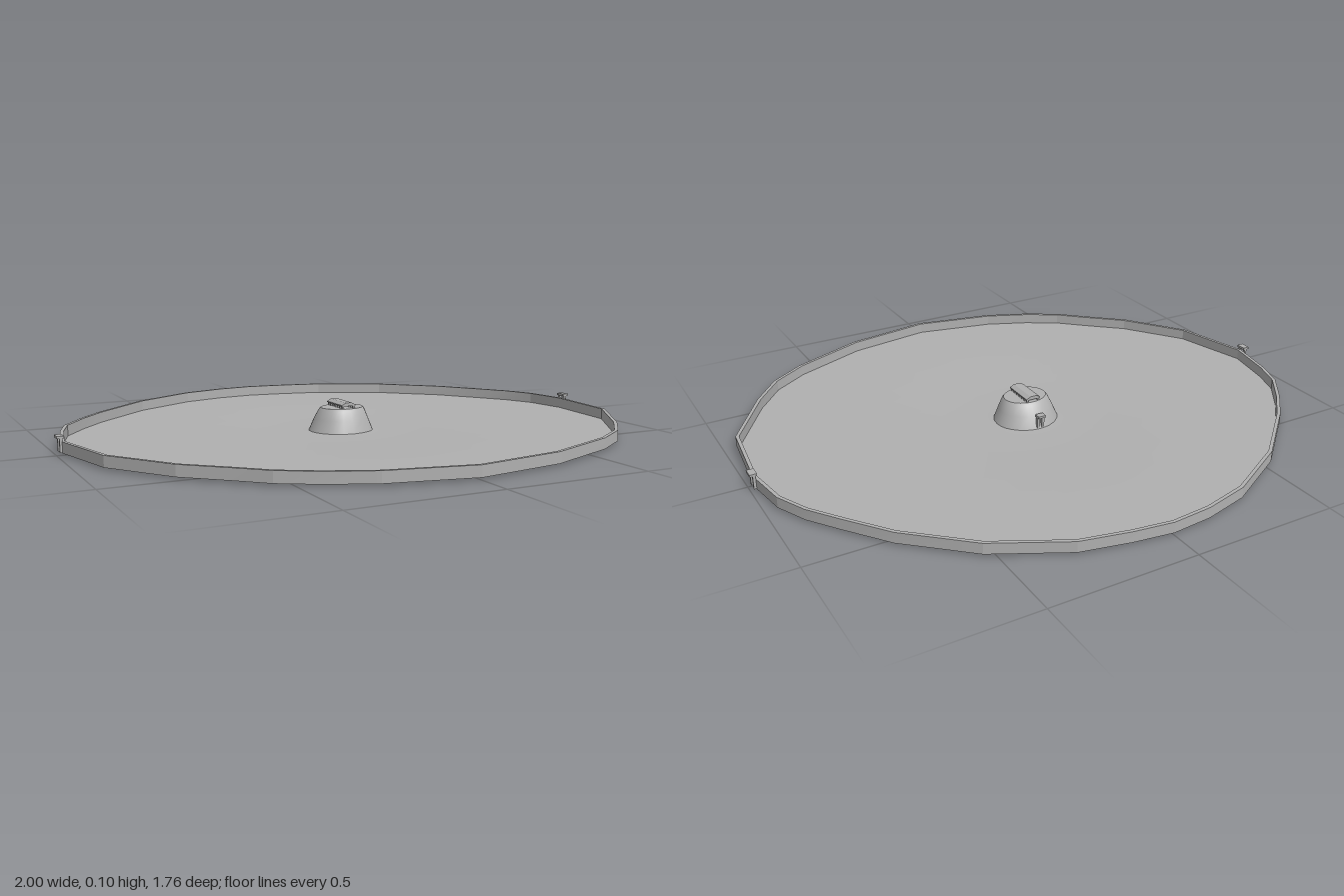
import * as THREE from 'three';
import { toCreasedNormals } from 'three/addons/utils/BufferGeometryUtils.js';

// Uneven outline of the dish as x, z pairs, running clockwise seen from above
const OUTLINE = [
  [0, -0.885], [0.135, -0.866], [0.3, -0.83], [0.535, -0.706], [0.73, -0.53], [0.835, -0.39],
  [0.91, -0.285], [0.96, -0.178], [0.985, -0.02], [0.957, 0.267], [0.807, 0.508], [0.706, 0.63],
  [0.578, 0.717], [0.31, 0.83], [0, 0.88], [-0.29, 0.82], [-0.44, 0.754], [-0.556, 0.684],
  [-0.64, 0.604], [-0.77, 0.487], [-0.92, 0.273], [-0.985, 0], [-0.95, -0.177], [-0.914, -0.283],
  [-0.834, -0.396], [-0.743, -0.503], [-0.53, -0.7], [-0.3, -0.83], [-0.14, -0.872],
];

// Outline moved inward by a distance, at height y
const outlineRing = (inset, y) => OUTLINE.map(([x, z]) => {
  const s = 1 - inset / Math.hypot(x, z);
  return [x * s, y, z * s];
});

// Oval ring with its corners in the same directions as the outline
const ovalRing = (rx, rz, y, cz) => OUTLINE.map(([x, z]) => {
  const r = Math.hypot(x, z);
  return [rx * x / r, y, cz + rz * z / r];
});

// Surface joining a series of rings
function loft(rings, crease) {
  const n = OUTLINE.length, index = [];
  for (let r = 0; r < rings.length - 1; r++) {
    for (let i = 0; i < n; i++) {
      const a = r * n + i, a1 = r * n + (i + 1) % n;
      index.push(a, a + n, a1, a1, a + n, a1 + n);
    }
  }
  const g = new THREE.BufferGeometry();
  g.setAttribute('position', new THREE.Float32BufferAttribute(rings.flat(2), 3));
  g.setIndex(index);
  return toCreasedNormals(g, crease);
}

export function createModel() {
  const model = new THREE.Group();
  model.name = 'dish';
  const grey = new THREE.MeshStandardMaterial({ color: 0xb0b0b0, side: THREE.DoubleSide });
  grey.name = 'grey';

  const add = (name, geometry, parent = model) => {
    const mesh = new THREE.Mesh(geometry, grey);
    mesh.name = name;
    parent.add(mesh);
    return mesh;
  };
  const box = (name, parent, w, h, d, x, y, z) =>
    add(name, new THREE.BoxGeometry(w, h, d), parent).position.set(x, y, z);

  // Upright rim with a narrow flat lip
  add('rim', loft([outlineRing(0, 0.008), outlineRing(0, 0.045),
    outlineRing(0.012, 0.045), outlineRing(0.012, 0.008)], 0.2));

  // Floor, dipping slightly around the central opening
  add('floor', loft([outlineRing(0, 0.008), ovalRing(0.3, 0.3, 0.008, -0.01),
    ovalRing(0.15, 0.14, 0, -0.01), ovalRing(0.115, 0.106, 0.002, -0.011)], 0.4));

  // Hollow hub: sloping wall, rounded shoulder and flat top
  add('hub', loft([ovalRing(0.115, 0.106, 0.002, -0.011), ovalRing(0.097, 0.09, 0.045, -0.009),
    ovalRing(0.083, 0.072, 0.076, -0.005), ovalRing(0.077, 0.064, 0.084, -0.004),
    ovalRing(0, 0, 0.084, -0.004)], 0.6));

  // Handle: bevelled bar on two rows of pegs
  const handle = new THREE.Group();
  handle.name = 'handle';
  handle.position.set(0, 0, -0.007);
  model.add(handle);
  const section = new THREE.Shape([[-0.027, 0.093], [0.027, 0.093], [0.027, 0.097],
    [0.011, 0.105], [-0.011, 0.105], [-0.027, 0.097]].map(([x, y]) => new THREE.Vector2(x, y)));
  const bar = new THREE.ExtrudeGeometry(section, { depth: 0.118, bevelEnabled: false });
  bar.translate(0, 0, -0.059);
  add('handleBar', bar, handle);
  for (const x of [-0.021, 0.021]) {
    for (let i = 0; i < 7; i++) {
      box('handlePeg', handle, 0.007, 0.012, 0.007, x, 0.088, -0.053 + i * 0.0177);
    }
  }

  // Clip: two legs under a cap that overhangs outward along +x
  function clip(name, legBottom, capY, w) {
    const g = new THREE.Group();
    g.name = name;
    const h = capY - legBottom;
    for (const s of [-1, 1]) box('clipLeg', g, 0.009, h, 0.009, 0, legBottom + h / 2, s * (w / 2 - 0.005));
    box('clipCap', g, 0.024, 0.008, w, 0.002, capY, 0);
    model.add(g);
    return g;
  }
  clip('leftClip', 0.01, 0.059, 0.038).position.set(0.986, 0, -0.022);
  const right = clip('rightClip', 0.01, 0.059, 0.038);
  right.position.set(-0.986, 0, -0.01);
  right.rotation.y = Math.PI;
  const back = clip('backClip', 0.006, 0.05, 0.028);
  back.position.set(0, 0, -0.114);
  back.rotation.y = Math.PI / 2;

  return model;
}
